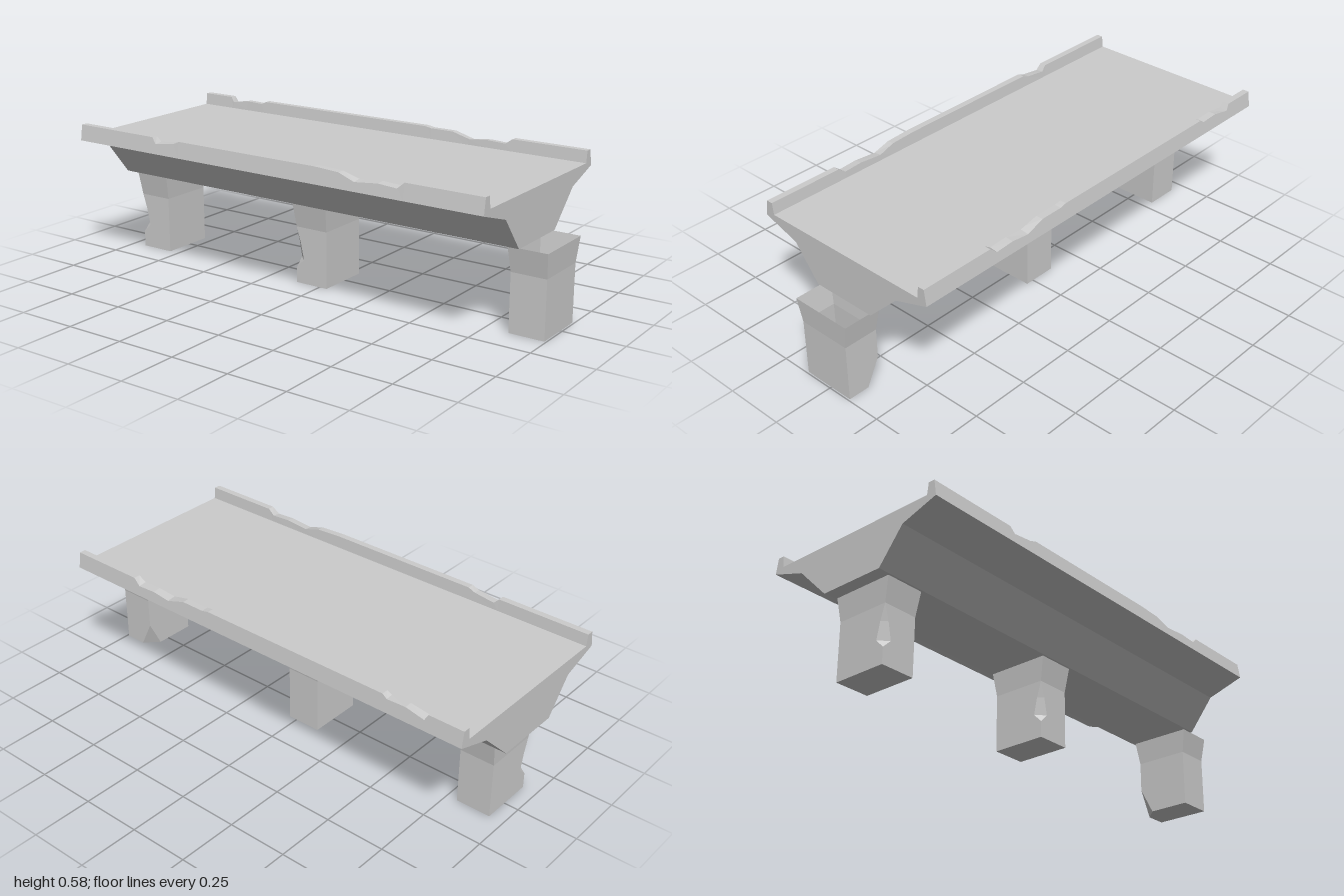
import * as THREE from 'three';

// Skin a row of closed 2D rings (counter-clockwise), place(u, v, w) puts each point in space
function loft(rings, levels, place, capEnd = true) {
  const pos = [];
  const put = (i, j) => pos.push(...place(rings[i][j][0], rings[i][j][1], levels[i]));
  const n = rings[0].length, last = rings.length - 1;
  for (let i = 0; i < last; i++) {
    for (let j = 0; j < n; j++) {
      const k = (j + 1) % n;
      put(i, j); put(i, k); put(i + 1, k);
      put(i, j); put(i + 1, k); put(i + 1, j);
    }
  }
  const cap = i => THREE.ShapeUtils.triangulateShape(rings[i].map(p => new THREE.Vector2(...p)), []);
  for (const [a, b, c] of cap(0)) { put(0, c); put(0, b); put(0, a); }
  if (capEnd) for (const [a, b, c] of cap(last)) { put(last, a); put(last, b); put(last, c); }
  const g = new THREE.BufferGeometry();
  g.setAttribute('position', new THREE.Float32BufferAttribute(pos, 3));
  g.computeVertexNormals();
  return g;
}

// Piecewise-linear lookup in [position, value] pairs, zero outside
function sample(table, z) {
  for (let i = 1; i < table.length; i++) {
    const [z0, a] = table[i - 1], [z1, b] = table[i];
    if (z >= z0 && z <= z1) return a + (b - a) * (z - z0) / (z1 - z0);
  }
  return 0;
}

// Broken stretches of each parapet: [z, depth below the intact top]
const leftChips = [[-0.855, 0], [-0.84, 0.025], [-0.76, 0.01], [-0.68, 0.013], [-0.66, 0],
  [0.17, 0], [0.2, 0.006], [0.3, 0.006], [0.38, 0.03], [0.46, 0.021], [0.54, 0.025], [0.57, 0]];
const rightChips = [[-0.61, 0], [-0.59, 0.025], [-0.5, 0.013], [-0.47, 0],
  [0.18, 0], [0.29, 0.006], [0.36, 0.03], [0.46, 0.02], [0.54, 0.025], [0.57, 0]];

// Deck section at z, parapets lowered along their sloping faces
function deckRing(z) {
  const parapet = (side, drop) => [
    [side * (0.407 + drop * 0.15), 0.585 - drop],
    [side * (0.38 - drop * 0.12), 0.585 - drop * 0.85],
  ];
  const [lo, li] = parapet(1, sample(leftChips, z));
  const [ro, ri] = parapet(-1, sample(rightChips, z));
  return [[-0.153, 0.335], [0.127, 0.335], [0.265, 0.47], [0.417, 0.52], lo, li,
    [0.374, 0.537], [-0.374, 0.537], ri, ro, [-0.417, 0.52], [-0.26, 0.47]];
}

// Pillar: rectangular shaft flaring at the top, one rear corner chipped
// levels: [y, half width, half depth, chip]
function pillarGeometry(levels, chipOnLeft) {
  const cx = -0.0135;
  const rings = levels.map(([, w, d, c]) => {
    const x0 = cx - w, x1 = cx + w;
    return chipOnLeft
      ? [[-d, x0], [d, x0], [d, x1], [-d + c, x1], [-d, x1 - c]]
      : [[-d, x0 + c], [-d + c, x0], [d, x0], [d, x1], [-d, x1]];
  });
  return loft(rings, levels.map(l => l[0]), (u, v, w) => [v, w, u], false);
}

export function createModel() {
  const model = new THREE.Group();
  model.name = 'bridgeSection';
  const solid = new THREE.MeshStandardMaterial({ color: 0xcccccc, flatShading: true });
  const open = new THREE.MeshStandardMaterial({ color: 0xcccccc, flatShading: true, side: THREE.DoubleSide });

  // Deck with both parapets
  const zs = [...new Set([-1, 0.89, ...leftChips.map(c => c[0]), ...rightChips.map(c => c[0])])].sort((a, b) => a - b);
  const deck = new THREE.Mesh(loft(zs.map(deckRing), zs, (u, v, w) => [u, v, w]), solid);
  deck.name = 'deck';
  model.add(deck);

  // Pillars, open at the top
  const flare = [[0.235, 0.114, 0.0725, 0], [0.335, 0.131, 0.08, 0]];
  const footChip = [[0, 0.114, 0.0725, 0.055], [0.11, 0.114, 0.0725, 0], ...flare];
  const edgeChip = [[0, 0.114, 0.0725, 0], [0.065, 0.114, 0.0725, 0],
    [0.1, 0.114, 0.0725, 0.035], [0.17, 0.114, 0.0725, 0.02], ...flare];
  const pillars = [
    ['frontPillar', 0.92, footChip, true],
    ['middlePillar', -0.038, edgeChip, false],
    ['backPillar', -0.867, edgeChip, false],
  ];
  for (const [name, z, levels, chipOnLeft] of pillars) {
    const pillar = new THREE.Mesh(pillarGeometry(levels, chipOnLeft), open);
    pillar.name = name;
    pillar.position.z = z;
    model.add(pillar);
  }
  return model;
}
